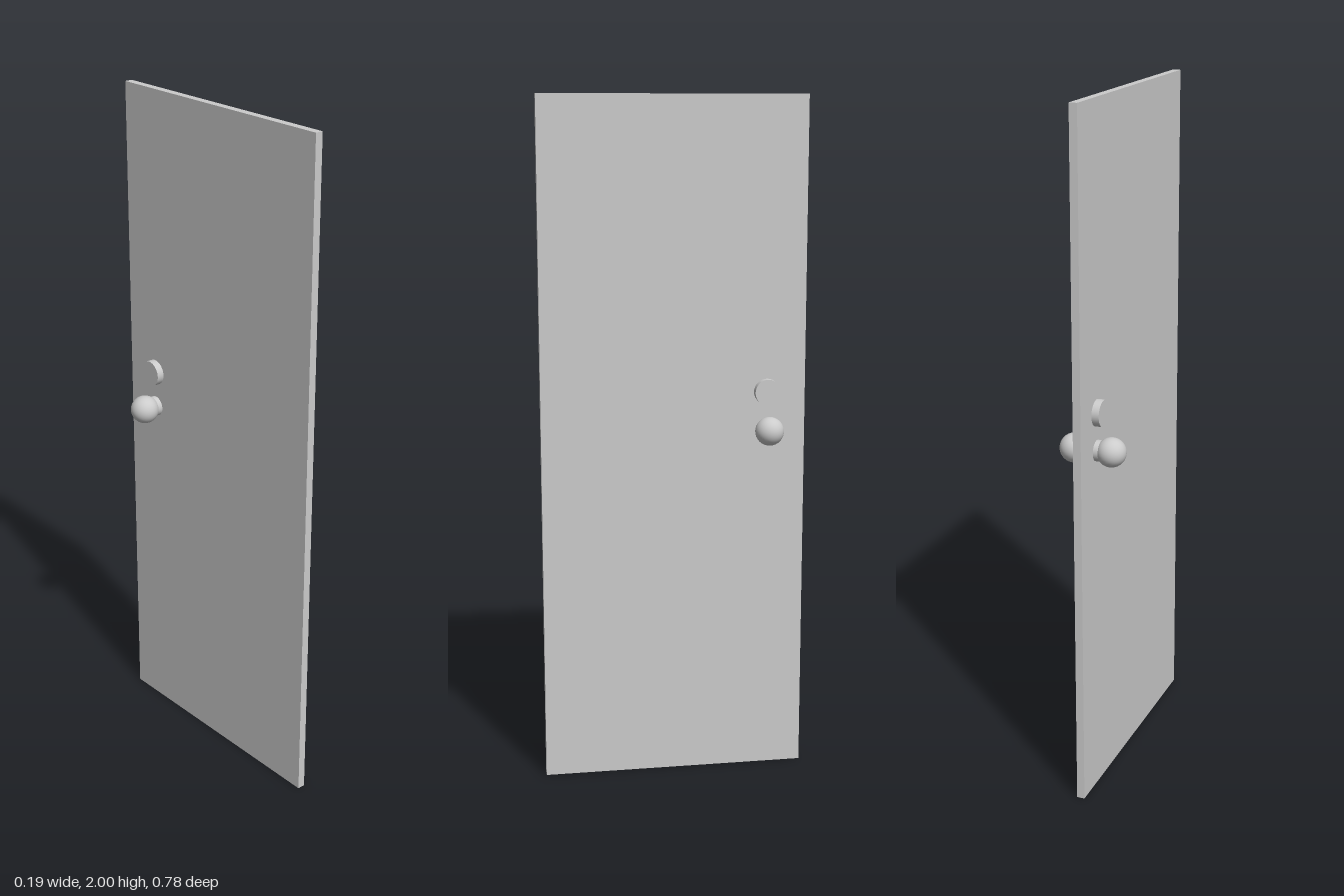
import * as THREE from 'three';

export function createModel() {
  const group = new THREE.Group();
  const material = new THREE.MeshStandardMaterial({ color: 0xcccccc });
  const hardwareZ = -0.274;

  const add = (name, geometry, x, y, z) => {
    const mesh = new THREE.Mesh(geometry, material);
    mesh.name = name;
    mesh.position.set(x, y, z);
    group.add(mesh);
    return mesh;
  };

  // Cylinder running through the door along x
  const addBarrel = (name, radius, length, y) => {
    const geometry = new THREE.CylinderGeometry(radius, radius, length, 32).rotateZ(Math.PI / 2);
    return add(name, geometry, 0, y, hardwareZ);
  };

  // Door slab
  add('doorPanel', new THREE.BoxGeometry(0.023, 2, 0.776), 0, 1, 0);

  // Lock cylinder above the knobs
  addBarrel('lockCylinder', 0.038, 0.066, 1.15);

  // Spindle joining the two knobs
  addBarrel('knobSpindle', 0.03, 0.09, 1.04);

  // A round knob on each side
  for (const side of [-1, 1]) {
    const knob = new THREE.SphereGeometry(0.042, 32, 24).rotateZ(Math.PI / 2);
    add(side > 0 ? 'leftKnob' : 'rightKnob', knob, side * 0.055, 1.04, hardwareZ);
  }

  return group;
}
